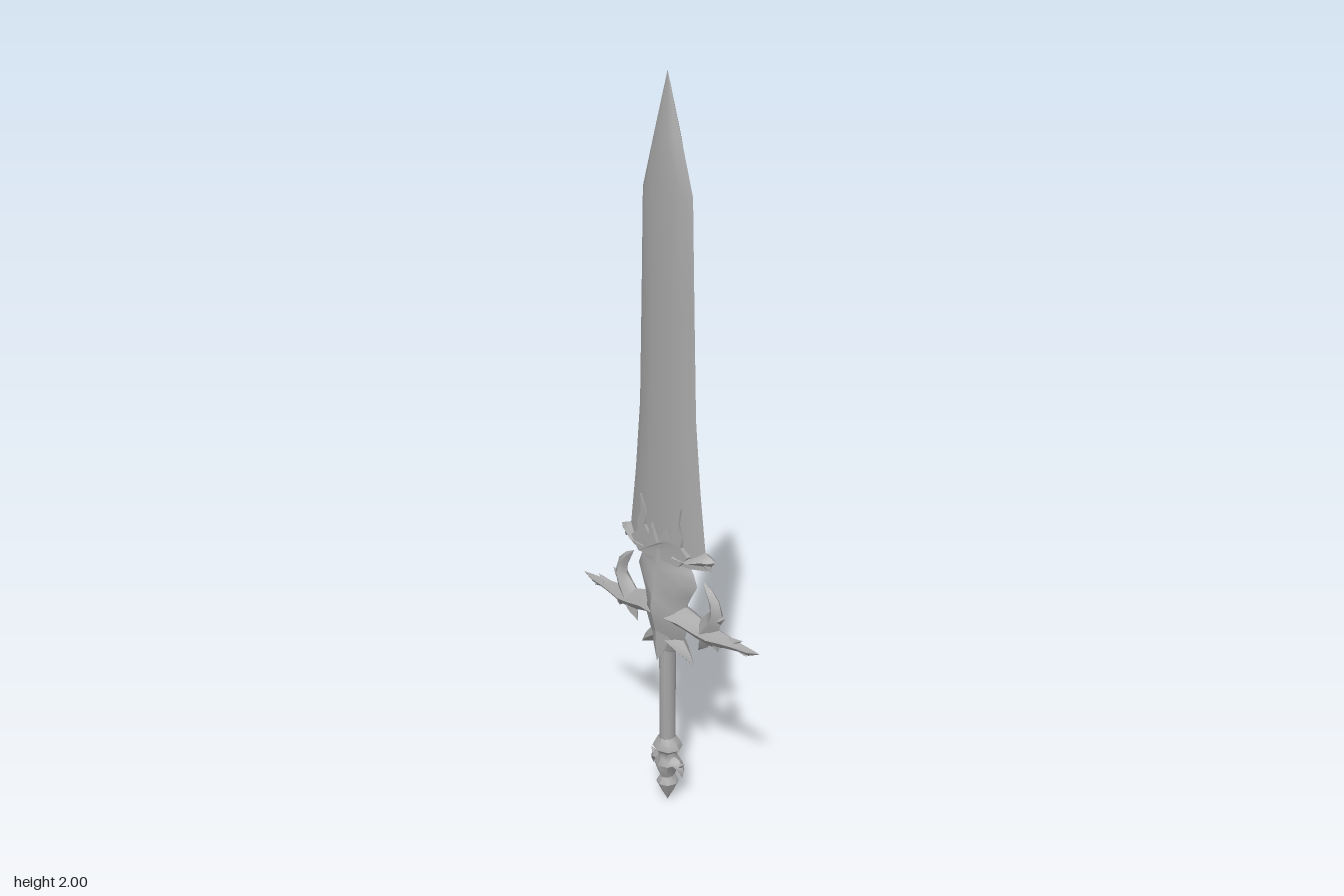
import * as THREE from 'three';
import { toCreasedNormals } from 'three/addons/utils/BufferGeometryUtils.js';

const steel = new THREE.MeshStandardMaterial({ color: 0xa6a6a6 });
steel.name = 'steel grey';

// Cross-sections as [across, depth] factors
const ring = (n) => Array.from({ length: n }, (_, i) => {
  const a = (i / n) * Math.PI * 2;
  return [Math.cos(a), Math.sin(a)];
});
const DIAMOND = ring(4);
const ROUND = ring(12);
const SOFT = [[1, 0], [0.6, 0.55], [0, 1], [-0.6, 0.55], [-1, 0], [-0.6, -0.55], [0, -1], [0.6, -0.55]];
const BLADE = [[1, 0], [0.72, 0.68], [0.35, 0.92], [0, 1], [-0.35, 0.92], [-0.72, 0.68],
  [-1, 0], [-0.72, -0.68], [-0.35, -0.92], [0, -1], [0.35, -0.92], [0.72, -0.68]];

// Sweeps a section along stations [x, y, half width, half depth, z]
function loft(stations, section, crease = 0.8) {
  const n = section.length;
  const last = stations.length - 1;
  const pos = [];
  const idx = [];
  stations.forEach(([x, y, w, d, z = 0], i) => {
    const a = stations[Math.max(i - 1, 0)];
    const b = stations[Math.min(i + 1, last)];
    const len = Math.hypot(b[0] - a[0], b[1] - a[1]);
    const nx = -(b[1] - a[1]) / len;
    const ny = (b[0] - a[0]) / len;
    for (const [u, v] of section) pos.push(x + nx * w * u, y + ny * w * u, z + d * v);
  });
  for (let i = 0; i < last; i++) {
    for (let j = 0; j < n; j++) {
      const a = i * n + j;
      const b = i * n + ((j + 1) % n);
      if (stations[i][2] > 0) idx.push(a, b, a + n);
      if (stations[i + 1][2] > 0) idx.push(b, b + n, a + n);
    }
  }
  for (let j = 1; j < n - 1; j++) {
    if (stations[0][2] > 0) idx.push(0, j + 1, j);
    if (stations[last][2] > 0) idx.push(last * n, last * n + j, last * n + j + 1);
  }
  const g = new THREE.BufferGeometry();
  g.setAttribute('position', new THREE.Float32BufferAttribute(pos, 3));
  g.setIndex(idx);
  return toCreasedNormals(g, crease);
}

export function createModel() {
  const model = new THREE.Group();
  const add = (name, geometry) => {
    const mesh = new THREE.Mesh(geometry, steel);
    mesh.name = name;
    model.add(mesh);
  };
  const pair = (name, stations, section = SOFT, crease) => {
    add(name + 'Left', loft(stations, section, crease));
    add(name + 'Right', loft(stations.map(([x, ...r]) => [-x, ...r]), section, crease));
  };

  // Broad blade, flaring towards the guard
  add('blade', loft([
    [0, 0.77, 0.14, 0.03], [0, 0.83, 0.131, 0.03], [0, 0.98, 0.113, 0.029], [0, 1.17, 0.096, 0.027],
    [0, 1.45, 0.088, 0.026], [0, 1.72, 0.081, 0.025], [0, 1.85, 0.044, 0.019], [0, 2, 0, 0],
  ], BLADE, 0.6));

  // Hooked corners at the foot of the blade
  pair('bladeHook', [[0.05, 0.79, 0.022, 0.04], [0.1, 0.79, 0.012, 0.036], [0.135, 0.8, 0.02, 0.022],
    [0.15, 0.8, 0.013, 0.014], [0.167, 0.804, 0, 0]]);
  pair('bladeHookBarb', [[0.125, 0.8, 0.018, 0.018], [0.143, 0.787, 0.013, 0.013], [0.153, 0.772, 0, 0]]);

  // Horned collar wrapped around the blade foot
  const half = [[0.025, 0.862], [0.034, 0.83], [0.05, 0.85], [0.047, 0.885], [0.071, 0.93],
    [0.066, 0.885], [0.078, 0.855], [0.076, 0.825], [0.1, 0.805], [0.07, 0.77]];
  const outline = [[0, 0.815], ...half, ...half.slice().reverse().map(([x, y]) => [-x, y])];
  const collar = new THREE.ExtrudeGeometry(
    new THREE.Shape(outline.map(([x, y]) => new THREE.Vector2(x, y))),
    { depth: 2, bevelEnabled: false });
  collar.translate(0, 0, -1);
  const p = collar.attributes.position;
  for (let i = 0; i < p.count; i++) {
    const depth = 0.043 - 0.06 * (p.getY(i) - 0.77) - 0.08 * Math.abs(p.getX(i));
    p.setZ(i, p.getZ(i) * depth);
  }
  add('collar', toCreasedNormals(collar, 0.6));

  // Swollen heart of the guard
  add('guardBody', loft([
    [0, 0.485, 0.024, 0.028], [0, 0.515, 0.048, 0.036], [0, 0.55, 0.065, 0.044], [0, 0.59, 0.078, 0.054],
    [0, 0.635, 0.066, 0.065], [0, 0.67, 0.083, 0.06], [0, 0.71, 0.105, 0.051], [0, 0.745, 0.092, 0.044],
    [0, 0.775, 0.066, 0.04], [0, 0.8, 0.07, 0.037],
  ], SOFT, 0.9));

  // Cross arms with barbs underneath and claws on top
  pair('crossArm', [[0, 0.61, 0.035, 0.05], [0.07, 0.605, 0.032, 0.038], [0.12, 0.592, 0.031, 0.03],
    [0.16, 0.588, 0.03, 0.028], [0.2, 0.592, 0.021, 0.021], [0.24, 0.594, 0.015, 0.014],
    [0.28, 0.594, 0.012, 0.008], [0.32, 0.602, 0, 0]]);
  pair('innerBarb', [[0.14, 0.59, 0.028, 0.024], [0.128, 0.555, 0.015, 0.015], [0.11, 0.527, 0, 0]]);
  pair('middleBarb', [[0.16, 0.59, 0.028, 0.022], [0.175, 0.568, 0.014, 0.013], [0.18, 0.55, 0, 0]]);
  pair('outerBarb', [[0.23, 0.598, 0.016, 0.013], [0.258, 0.588, 0.009, 0.008], [0.278, 0.576, 0, 0]]);
  pair('topBarb', [[0.21, 0.595, 0.016, 0.013], [0.24, 0.606, 0.008, 0.008], [0.262, 0.617, 0, 0]]);
  pair('claw', [[0.135, 0.595, 0.032, 0.026], [0.158, 0.628, 0.028, 0.022], [0.172, 0.658, 0.02, 0.02],
    [0.164, 0.69, 0.017, 0.015], [0.145, 0.715, 0.011, 0.01], [0.122, 0.738, 0, 0]]);
  pair('clawSpur', [[0.16, 0.65, 0.018, 0.014], [0.185, 0.645, 0.012, 0.01], [0.203, 0.658, 0, 0]]);

  // Fangs below the guard, at the sides and on both faces
  pair('sideFang', [[0.02, 0.535, 0.03, 0.034], [0.05, 0.512, 0.02, 0.024], [0.075, 0.492, 0.012, 0.012],
    [0.096, 0.472, 0, 0]]);
  for (const s of [1, -1]) {
    add(s > 0 ? 'frontFang' : 'backFang', loft([[0, 0.56, 0.035, 0.022, s * 0.025],
      [0, 0.51, 0.022, 0.014, s * 0.031], [0, 0.468, 0, 0, s * 0.041]], DIAMOND));
  }

  // Grip
  add('grip', loft([[0, 0.17, 0.021, 0.024], [0, 0.35, 0.021, 0.024], [0, 0.53, 0.022, 0.025]], ROUND));

  // Pommel with ring, hooks and pointed end
  add('pommel', loft([
    [0, 0, 0, 0], [0, 0.03, 0.016, 0.016], [0, 0.065, 0.031, 0.032], [0, 0.085, 0.019, 0.022],
    [0, 0.105, 0.024, 0.032], [0, 0.13, 0.037, 0.038], [0, 0.15, 0.026, 0.028], [0, 0.165, 0.026, 0.028],
    [0, 0.18, 0.043, 0.04], [0, 0.195, 0.036, 0.034], [0, 0.212, 0.021, 0.024],
  ], ring(8), 0.7));
  pair('pommelHook', [[0.01, 0.138, 0.018, 0.026], [0.038, 0.135, 0.015, 0.019], [0.052, 0.12, 0.01, 0.011],
    [0.055, 0.097, 0, 0]]);
  pair('pommelSpur', [[0.025, 0.13, 0.012, 0.014], [0.05, 0.134, 0.008, 0.009], [0.064, 0.146, 0, 0]]);

  return model;
}
